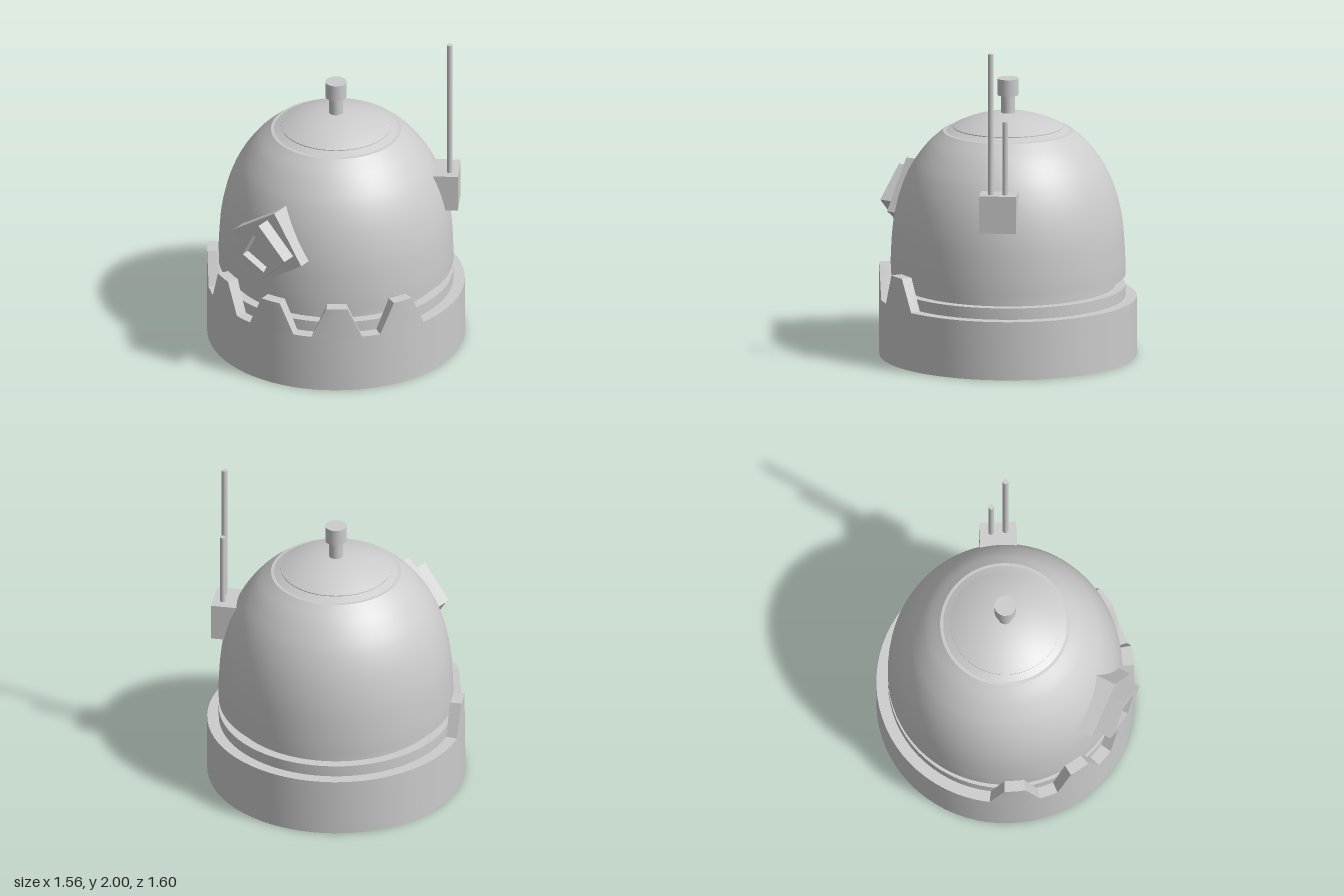
import * as THREE from 'three';
import { toCreasedNormals } from 'three/addons/utils/BufferGeometryUtils.js';

const AXIS_Z = -0.02; // the round body sits slightly behind the origin
const material = new THREE.MeshStandardMaterial({ color: 0xcccccc });

function add(parent, name, geometry, x = 0, y = 0, z = 0) {
  const mesh = new THREE.Mesh(geometry, material);
  mesh.name = name;
  mesh.position.set(x, y, z);
  parent.add(mesh);
  return mesh;
}

// Turned part with crisp profile corners; points are [radius, height]
function turned(points, crease = 0.4, sides = 72) {
  const profile = points.map(([r, y]) => new THREE.Vector2(r, y));
  return toCreasedNormals(new THREE.LatheGeometry(profile, sides), crease);
}

const DEG = Math.PI / 180;

// Tapered tooth wrapped around the collar
function toothGeometry(centre) {
  const g = new THREE.BoxGeometry(1, 1, 1, 8, 1, 1);
  const p = g.attributes.position;
  for (let i = 0; i < p.count; i++) {
    const high = p.getY(i) > 0;
    const angle = (centre + p.getX(i) * 2 * (high ? 4.7 : 11.5)) * DEG;
    const r = p.getZ(i) > 0 ? 0.78 : 0.71;
    p.setXYZ(i, r * Math.sin(angle), high ? 0.555 : 0.355, r * Math.cos(angle));
  }
  return toCreasedNormals(g, 0.4);
}

function square(side, angle, Type = THREE.Shape) {
  const pts = [0, 1, 2, 3].map((i) => {
    const a = angle + Math.PI / 4 + (i * Math.PI) / 2;
    return new THREE.Vector2(Math.cos(a), Math.sin(a)).multiplyScalar(side * Math.SQRT1_2);
  });
  return new Type(pts);
}

export function createModel() {
  const model = new THREE.Group();
  model.name = 'domedHelmet';

  const body = new THREE.Group();
  body.name = 'body';
  body.position.z = AXIS_Z;
  model.add(body);

  // Collar, hollow underneath
  add(body, 'collar', turned([
    [0, 0.34], [0.7, 0.34], [0.7, 0], [0.78, 0], [0.78, 0.36], [0.65, 0.36],
  ]));

  // Front teeth on the collar
  const teeth = new THREE.Group();
  teeth.name = 'teeth';
  body.add(teeth);
  for (let i = -2; i <= 2; i++) add(teeth, 'tooth', toothGeometry(4.3 + i * 31));

  // Band and the groove above it
  add(body, 'neckBand', turned([
    [0.71, 0.35], [0.71, 0.43], [0.65, 0.43], [0.65, 0.49], [0.71, 0.49],
  ]));

  // Main dome
  const domeCurve = new THREE.SplineCurve([
    [0.71, 0.49], [0.71, 0.6], [0.7, 0.77], [0.68, 0.9], [0.648, 1.02],
    [0.605, 1.125], [0.555, 1.21], [0.48, 1.304], [0.394, 1.38],
  ].map(([r, y]) => new THREE.Vector2(r, y)));
  add(body, 'dome', new THREE.LatheGeometry(domeCurve.getPoints(40), 72));

  // Shoulder and overhanging shallow cap
  add(body, 'capShoulder', turned([[0.394, 1.38], [0.375, 1.382], [0.3, 1.415]], 0.2));
  const cap = [[0, 1.405], [0.335, 1.405]];
  for (let i = 0; i <= 12; i++) {
    const t = i / 12;
    cap.push([0.335 * (1 - t), 1.41 + 0.085 * (1 - (1 - t) ** 2)]);
  }
  add(body, 'cap', turned(cap, 0.3));

  // Top knob
  add(body, 'knobStem', new THREE.CylinderGeometry(0.042, 0.042, 0.14, 32), 0, 1.54, 0);
  add(body, 'knob', new THREE.CylinderGeometry(0.065, 0.065, 0.102, 32), 0, 1.653, 0);

  // Front eye: twisted stack of squares with a recess
  const eye = new THREE.Group();
  eye.name = 'eye';
  eye.position.set(0, 0.88, 0);
  model.add(eye);
  const base = add(eye, 'eyeBase', new THREE.BoxGeometry(0.36, 0.36, 0.25), 0, 0, 0.582);
  base.rotation.z = 33.5 * DEG;
  const frame = square(0.27, 45 * DEG);
  frame.holes.push(square(0.173, -27 * DEG, THREE.Path));
  add(eye, 'eyeFrame', new THREE.ExtrudeGeometry(frame, { depth: 0.1, bevelEnabled: false }), 0, 0, 0.7);
  const lens = add(eye, 'eyeLens', new THREE.BoxGeometry(0.173, 0.173, 0.05), 0, 0, 0.72);
  lens.rotation.z = -27 * DEG;

  // Antenna box with two rods
  const box = add(model, 'antennaBox', new THREE.BoxGeometry(0.25, 0.23, 0.225), 0.53, 1.015, -0.347);
  box.rotation.y = 30.6 * DEG;
  for (const [name, x, z, top] of [
    ['longAntenna', 0.614, -0.343, 2.0],
    ['shortAntenna', 0.564, -0.415, 1.58],
  ]) {
    const h = top - 1.1;
    add(model, name, new THREE.CylinderGeometry(0.017, 0.017, h, 20), x, 1.1 + h / 2, z);
  }

  return model;
}
